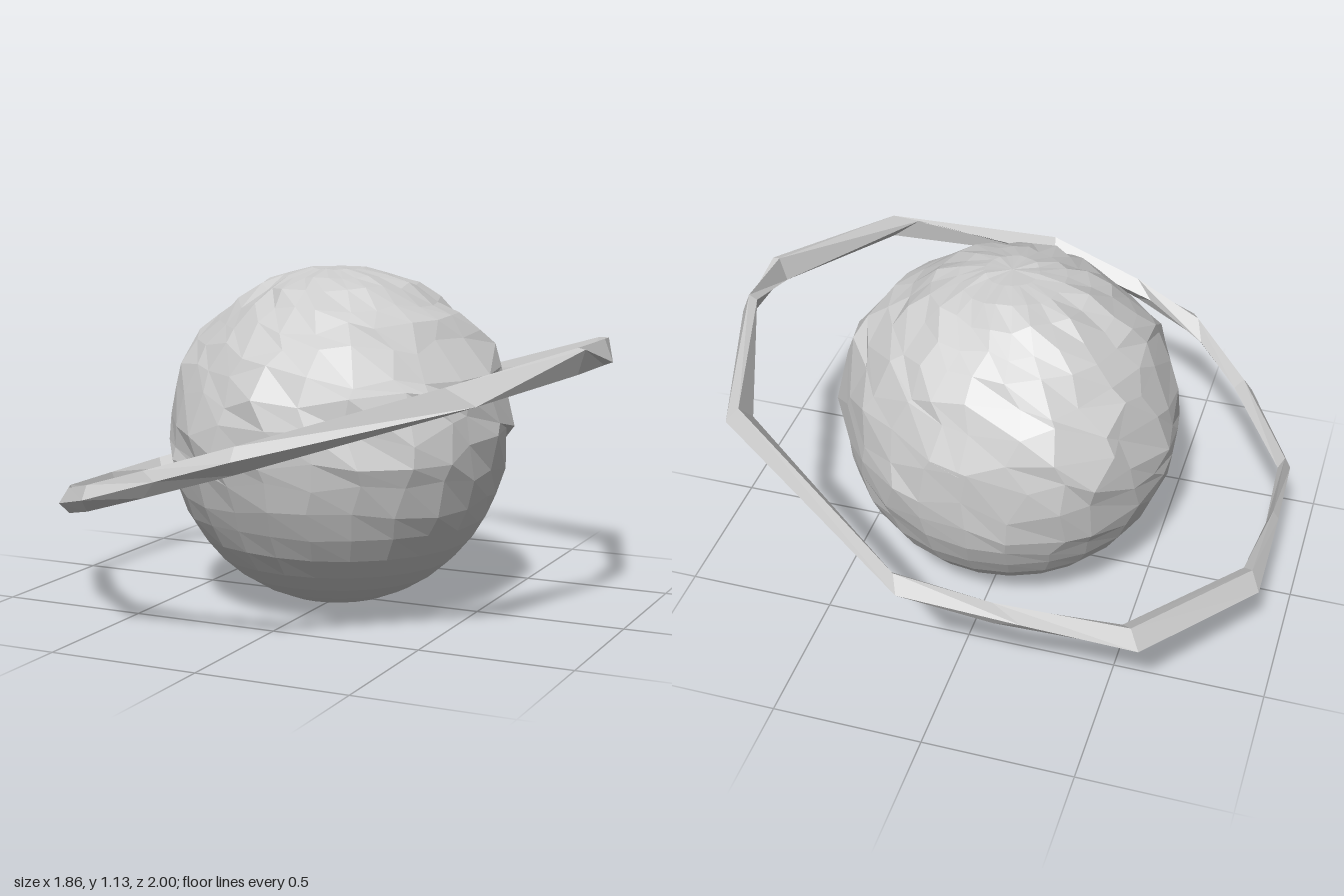
import * as THREE from 'three';

const material = new THREE.MeshStandardMaterial({ color: 0xcccccc, flatShading: true });

// Repeatable value in -1..1 for a point, so vertices shared at the seam stay together
function hash(p, k) {
  const q = p.clone().multiplyScalar(100).round();
  const s = Math.sin((q.x + 0) * 12.99 + (q.y + 0) * 78.23 + (q.z + 0) * 37.72 + k * 19.19) * 43758.5453;
  return (s - Math.floor(s)) * 2 - 1;
}

// Rocky planet: smooth bowl below, chipped facets above
function makePlanet() {
  const radius = 0.565;
  // direction and height of the larger swellings and dents
  const bumps = [
    [0.55, 0.27, -0.14, 0.035], [0.5, 0.02, 0.36, 0.03], [-0.36, 0.1, -0.48, 0.045],
    [-0.55, 0.05, -0.2, 0.015], [-0.3, 0.4, 0.3, -0.02], [0.05, 0.08, 0.56, 0.02],
    [-0.15, -0.2, 0.53, -0.015], [0.35, 0.3, -0.42, -0.012], [-0.45, 0.3, 0.2, 0.015],
  ].map(([x, y, z, amount]) => ({ dir: new THREE.Vector3(x, y, z).normalize(), amount }));

  const geometry = new THREE.SphereGeometry(radius, 24, 20);
  const pos = geometry.attributes.position;
  const p = new THREE.Vector3();
  for (let i = 0; i < pos.count; i++) {
    p.fromBufferAttribute(pos, i);
    const dir = p.clone().normalize();
    const rough = THREE.MathUtils.smoothstep(dir.y, -0.6, 0.1);
    let r = radius + hash(p, 1) * 0.012 * rough * (dir.y > 0.95 ? 0.4 : 1);
    for (const b of bumps) r += b.amount * Math.exp((dir.dot(b.dir) - 1) * 18);
    // vertices slide less where the meridians crowd together at the pole
    const reach = 0.05 * rough * Math.hypot(dir.x, dir.z) ** 2;
    const slide = new THREE.Vector3(hash(p, 2), hash(p, 3), hash(p, 4)).multiplyScalar(reach);
    p.copy(dir.multiplyScalar(radius).add(slide).normalize().multiplyScalar(r));
    pos.setXYZ(i, p.x, p.y, p.z);
  }
  geometry.computeVertexNormals();
  const planet = new THREE.Mesh(geometry, material);
  planet.name = 'planet';
  planet.position.set(0.005, 0.567, 0.03);
  return planet;
}

// Tilted, twisted ring: each station gives outer x, z, inner x, z and the twist of its section
function makeRing() {
  const stations = [
    [0.06, -1.0, 0.1, -0.92, 0], [-0.3, -0.905, -0.12, -0.905, 0], [-0.64, -0.81, -0.57, -0.73, 0],
    [-0.93, -0.35, -0.865, -0.27, 0], [-0.93, 0, -0.89, 0, 0.02], [-0.92, 0.3, -0.88, 0.27, 0],
    [-0.72, 0.62, -0.66, 0.59, 0], [-0.44, 0.91, -0.5, 0.76, 0], [-0.16, 0.95, -0.28, 0.875, 0],
    [0.12, 0.995, 0.1, 0.9, 0], [0.73, 0.63, 0.56, 0.7, -0.04], [0.91, 0.18, 0.86, 0.17, 0.03],
    [0.925, -0.06, 0.865, -0.07, -0.04], [0.73, -0.65, 0.7, -0.52, 0.03],
  ];
  const half = 0.042;
  const points = [];
  const put = (x, z, lift) => points.push(x, 0.6 + 0.312 * x + lift, z);
  for (const [ox, oz, ix, iz, twist] of stations) {
    const mx = (ox + ix) / 2, mz = (oz + iz) / 2;
    put(ox, oz, twist);
    put(mx, mz, half);
    put(ix, iz, -twist);
    put(mx, mz, -half);
  }
  const faces = [];
  const n = stations.length;
  for (let i = 0; i < n; i++) {
    for (let j = 0; j < 4; j++) {
      const a = i * 4 + j, b = i * 4 + (j + 1) % 4;
      const c = ((i + 1) % n) * 4 + j, d = ((i + 1) % n) * 4 + (j + 1) % 4;
      faces.push(a, c, b, b, c, d);
    }
  }
  const geometry = new THREE.BufferGeometry();
  geometry.setAttribute('position', new THREE.Float32BufferAttribute(points, 3));
  geometry.setIndex(faces);
  geometry.computeVertexNormals();
  const ring = new THREE.Mesh(geometry, material);
  ring.name = 'ring';
  return ring;
}

export function createModel() {
  const model = new THREE.Group();
  model.name = 'ringedPlanet';
  model.add(makePlanet(), makeRing());
  return model;
}
